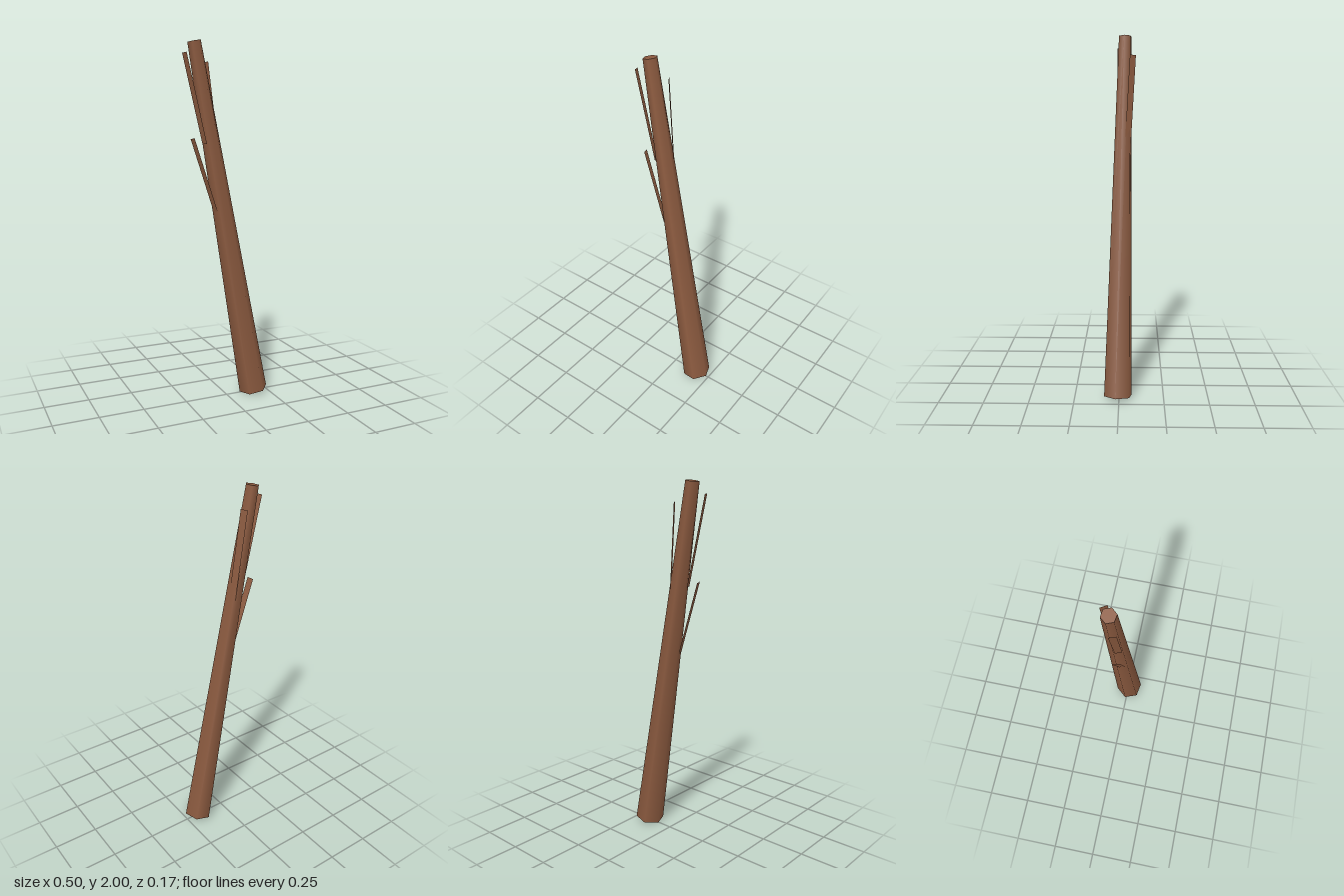
import * as THREE from 'three';

const bark = new THREE.MeshStandardMaterial({ color: 0x8b5a3f });
const twigBark = new THREE.MeshStandardMaterial({ color: 0x8b5a3f, side: THREE.DoubleSide });

// Straight tapered six-sided log between two points
function makeTrunk(base, tip, baseRadius, tipRadius) {
  const axis = tip.clone().sub(base);
  const geometry = new THREE.CylinderGeometry(
    tipRadius, baseRadius, axis.length(), 6, 1, false, THREE.MathUtils.degToRad(20));
  const mesh = new THREE.Mesh(geometry, bark);
  mesh.quaternion.setFromUnitVectors(new THREE.Vector3(0, 1, 0), axis.normalize());
  mesh.position.copy(base).add(tip).multiplyScalar(0.5);
  mesh.name = 'trunk';
  return mesh;
}

// Flat strip from base to tip, spread along a horizontal heading
function makeTwig(name, base, tip, heading, width) {
  const start = new THREE.Vector3(...base);
  const end = new THREE.Vector3(...tip);
  const side = new THREE.Vector3(...heading).normalize();
  const axis = end.clone().sub(start);
  side.addScaledVector(axis, -side.dot(axis) / axis.lengthSq()).normalize();
  const normal = side.clone().cross(axis).normalize();
  const mesh = new THREE.Mesh(new THREE.PlaneGeometry(width, axis.length()), twigBark);
  mesh.quaternion.setFromRotationMatrix(
    new THREE.Matrix4().makeBasis(side, axis.normalize(), normal));
  mesh.position.copy(start).add(end).multiplyScalar(0.5);
  mesh.name = name;
  return mesh;
}

export function createModel() {
  const model = new THREE.Group();
  model.name = 'leaningTrunk';

  model.add(makeTrunk(
    new THREE.Vector3(0.167, 0.014, 0.006),
    new THREE.Vector3(-0.177, 1.994, -0.028), 0.082, 0.037));

  // Twigs growing upwards from the trunk
  model.add(makeTwig('lowerTwig', [-0.07, 1.08, 0.006], [-0.2, 1.48, 0], [0.3, 0, 0.95], 0.036));
  model.add(makeTwig('upperTwig', [-0.13, 1.45, 0], [-0.243, 1.93, 0], [0.35, 0, 0.94], 0.037));
  model.add(makeTwig('backTwig', [-0.045, 1.41, -0.045], [-0.095, 1.89, -0.071], [0.5, 0, 0.85], 0.038));

  return model;
}
